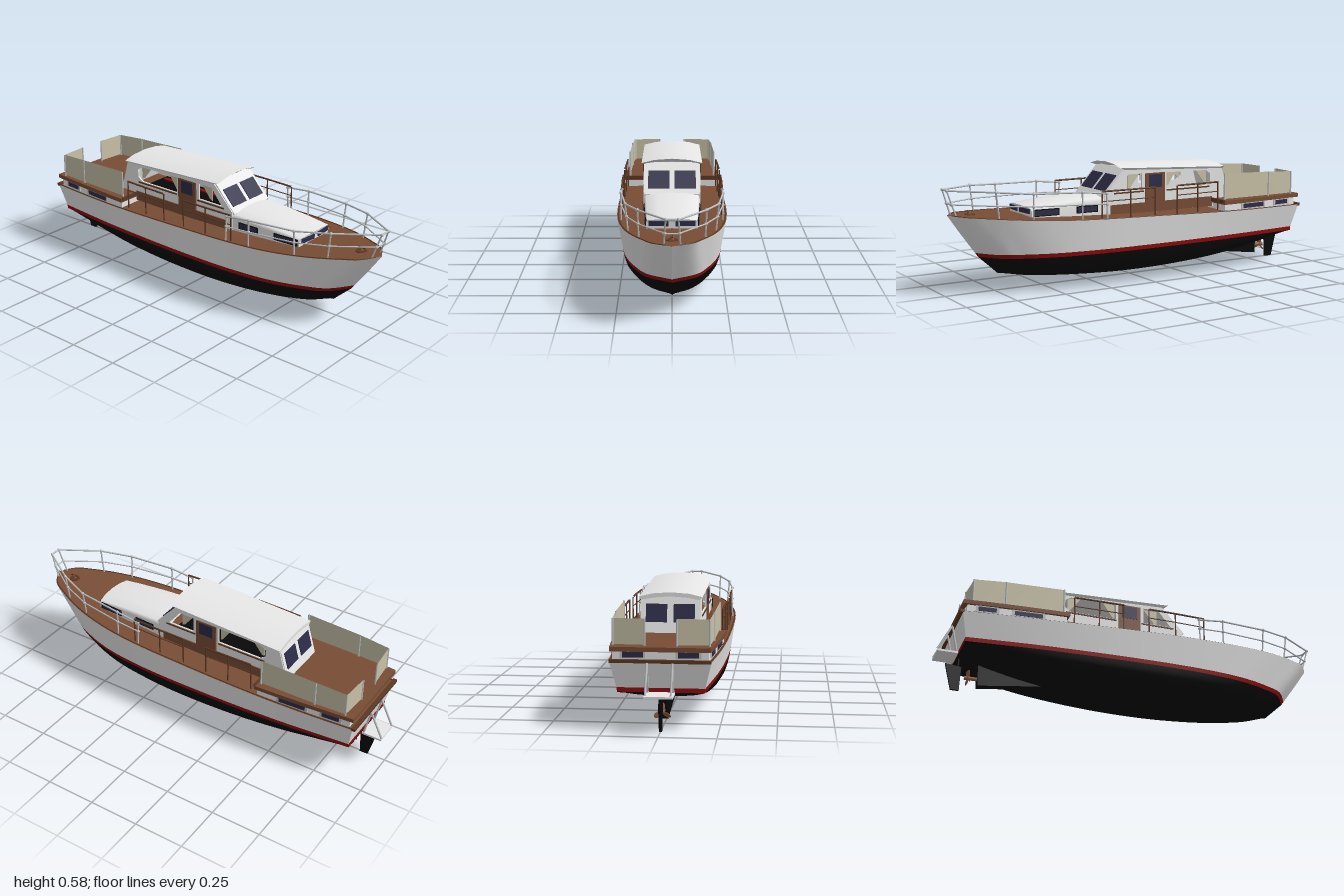
import * as THREE from 'three';
import { toCreasedNormals } from 'three/addons/utils/BufferGeometryUtils.js';

const mat = (name, color) => Object.assign(new THREE.MeshStandardMaterial({ color }), { name });
const white = mat('white paint', 0xe8e8e8);
const black = mat('black antifouling', 0x080808);
const red = mat('red trim', 0x900c0c);
const teak = mat('teak', 0x784d35);
const wood = mat('dark wood', 0x5c3823);
const glass = mat('window glass', 0x2d2c48);
const steel = mat('steel', 0xbfc2c4);
const canvas = mat('canvas', 0xc9c2a8);
canvas.side = THREE.DoubleSide;
const bronze = mat('bronze', 0x8a5c40);

const V = (x, y, z) => new THREE.Vector3(x, y, z);
const lerp = THREE.MathUtils.lerp;
const table = (xs, ys) => {
  const f = new THREE.CubicInterpolant(xs, ys, 1);
  return (x) => f.evaluate(x)[0];
};

// hull lines: half breadths, sheer height and keel height along z
const sheerBeam = table([-.92, -.7, -.4, 0, .3, .5, .7, .85, .93, .98], [.22, .24, .258, .267, .262, .242, .195, .13, .08, 0]);
const sheerY = table([-.92, -.5, 0, .5, .98], [.308, .314, .33, .346, .378]);
const waterBeam = table([-.89, -.5, 0, .3, .5, .65, .76, .83], [.19, .225, .243, .235, .208, .16, .1, 0]);
const keelY = table([-.89, -.75, -.5, -.2, .1, .4, .6, .72], [.165, .125, .075, .047, .04, .05, .063, .08]);

// surface through rows of points
function loft(rows, flip = false) {
  const n = rows[0].length, index = [];
  for (let i = 0; i < rows.length - 1; i++) for (let j = 0; j < n - 1; j++) {
    const a = i * n + j, b = a + 1, c = a + n, d = c + 1;
    if (flip) index.push(a, b, c, b, d, c);
    else index.push(a, c, b, b, c, d);
  }
  const g = new THREE.BufferGeometry().setFromPoints(rows.flat());
  g.setIndex(index);
  g.computeVertexNormals();
  return g;
}
const mirrorRow = (row) => row.map((p) => V(-p.x, p.y, p.z));

export function createModel() {
  const model = new THREE.Group();
  model.name = 'motorYacht';
  const add = (name, geo, material, x = 0, y = 0, z = 0, parent = model) => {
    const m = new THREE.Mesh(geo, material);
    m.name = name;
    m.position.set(x, y, z);
    parent.add(m);
    return m;
  };
  const box = (name, m, w, h, d, x, y, z, parent) => add(name, new THREE.BoxGeometry(w, h, d), m, x, y, z, parent);
  const tube = (name, m, pts, r = .004) => {
    for (let i = 1; i < pts.length; i++)
      add(name, new THREE.TubeGeometry(new THREE.LineCurve3(pts[i - 1], pts[i]), 1, r, 8), m);
  };
  const shape = (pts) => new THREE.Shape(pts.map(([a, b]) => new THREE.Vector2(a, b)));
  // upright plate drawn in (z, y), centred on x
  const sidePlate = (name, m, pts, t, x, holes = []) => {
    const s = shape(pts);
    s.holes = holes.map(shape);
    const g = new THREE.ExtrudeGeometry(s, { depth: t, bevelEnabled: false }).translate(0, 0, -t / 2).rotateY(-Math.PI / 2);
    add(name, g, m, x);
  };
  // flat slab following the aft hull outline
  const aftSlab = (name, m, z0, z1, inset, y0, y1) => {
    const pts = [];
    for (let i = 0; i <= 8; i++) pts.push([sheerBeam(lerp(z0, z1, i / 8)) - inset, -lerp(z0, z1, i / 8)]);
    const all = [...pts, ...pts.map(([x, y]) => [-x, y]).reverse()];
    add(name, new THREE.ExtrudeGeometry(shape(all), { depth: y1 - y0, bevelEnabled: false }).rotateX(-Math.PI / 2), m, 0, y0, 0);
  };

  // hull rows, from stern to bow
  const N = 56;
  const us = Array.from({ length: N + 1 }, (_, i) => 1 - Math.pow(1 - i / N, 1.4));
  const water = (u) => waterBeam(lerp(-.89, .83, u));
  const topRow = (s) => us.map((u) => {
    const z = lerp(lerp(-.89, -.915, s), lerp(.845, .98, s), u);
    return V(lerp(water(u) * 1.01, sheerBeam(lerp(-.92, .98, u)), s), lerp(.19, sheerY(z), s), z);
  });
  const lowRow = ([w, d]) => us.map((u) => {
    const z = lerp(-.89, .83 - .1 * d, u);
    return V(water(u) * w, lerp(.17, keelY(z), d), z);
  });
  const topsides = [0, .25, .5, .75, 1].map(topRow);
  const stripe = [lowRow([1, 0]), topsides[0]];
  const bottom = [[0, 1], [.22, .98], [.42, .95], [.58, .905], [.7, .84], [.82, .72], [.9, .55], [.96, .36], [.985, .18], [1, 0]].map(lowRow);
  for (const flip of [false, true]) {
    const side = (rows) => loft(flip ? rows.map(mirrorRow) : rows, flip);
    add('topsides', side(topsides), white);
    add('waterlineStripe', side(stripe), red);
  }
  add('hullBottom', loft([...bottom.slice(1).reverse().map(mirrorRow), ...bottom]), black);
  const transom = (rows) => loft(rows.map((r) => [V(-r[0].x, r[0].y, r[0].z), r[0]]));
  add('transom', transom(topsides), white);
  add('transomStripe', transom(stripe), red);
  add('transomFoot', transom(bottom), black);

  // main deck and toe rail
  const edge = topsides[4];
  add('deck', loft([edge, edge.map((p) => V(0, p.y + .004, p.z)), mirrorRow(edge)]), teak);
  const rail = edge.slice(0, -2).map((p) => V(Math.max(p.x - .006, 0), p.y + .001, p.z));
  for (const row of [rail, mirrorRow(rail)])
    add('toeRail', new THREE.TubeGeometry(new THREE.CatmullRomCurve3(row), 80, .003, 6), wood);

  // aft cabin and its raised deck
  aftSlab('aftCabin', white, -.895, -.42, .014, .3, .355);
  aftSlab('aftDeck', teak, -.915, -.41, .002, .35, .37);
  box('deckStep', wood, .5, .016, .012, 0, .366, -.41);
  box('sternRubRail', wood, .44, .014, .02, 0, .31, -.918);

  // forward trunk cabin
  const trunk = [[1, 0], [1, .7], [.94, .88], [.5, .97], [0, 1], [-.5, .97], [-.94, .88], [-1, .7], [-1, 0]];
  const trunkZ = [.16, .25, .35, .45, .53, .58, .605];
  const trunkRows = trunk.map(([wx, h]) => trunkZ.map((z) => {
    const t = (z - .16) / .445;
    return V(lerp(.137, .118, t) * wx, lerp(.33, lerp(.432, .402, t * t), h), z + (.012 * (1 - wx * wx)) * t);
  }));
  add('trunkCabin', loft(trunkRows), white);
  const frontEnd = trunkRows.map((r) => r[r.length - 1]);
  add('trunkFront', loft([0, 1, 2, 3, 4].map((i) => [frontEnd[i], frontEnd[8 - i]])), white);

  // wheelhouse shell
  const outline = [[.22, .33], [.22, .43], [.1, .555], [-.47, .535], [-.52, .36], [-.42, .33]];
  const holes = [
    [[.155, .445], [.09, .525], [.01, .525], [.01, .445]],
    [[-.135, .44], [-.135, .522], [-.37, .518], [-.4, .5], [-.4, .46], [-.37, .44]],
  ];
  const slanted = (name, y0, z0, y1, z1, out, paneW, paneH, paneY) => {
    const g = new THREE.Group();
    g.name = name;
    g.position.set(0, (y0 + y1) / 2, (z0 + z1) / 2);
    g.rotation.x = Math.atan2(z1 - z0, y1 - y0);
    model.add(g);
    box('panel', white, .266, Math.hypot(y1 - y0, z1 - z0), .008, 0, 0, 0, g);
    for (const s of [1, -1]) box('pane', glass, paneW, paneH, .006, s * .064, paneY, out * .005, g);
  };
  slanted('windscreen', .42, .228, .555, .105, 1, .103, .098, -.008);
  slanted('rearBulkhead', .36, -.52, .535, -.47, -1, .098, .085, .01);
  box('cabinSole', black, .25, .01, .6, 0, .37, -.14);

  // crowned roof whose front tapers to a thin visor
  const crown = [[.148, -.006], [.085, .009], [0, .015], [-.085, .009], [-.148, -.006]];
  const under = [[-.134, -.02], [-.07, -.009], [0, -.004], [.07, -.009], [.134, -.02]];
  const ring = (z, low) => [...crown, ...low, crown[0]].map(([x, y]) => V(x, y + .538 + (z + .48) * .045, z));
  const rings = [ring(-.48, under), ring(.095, under), ring(.14, [...crown].reverse())];
  add('roof', toCreasedNormals(loft(rings[0].map((_, i) => rings.map((r) => r[i]))), .5), white);
  add('roofBack', loft([rings[0].slice(5, 10), rings[0].slice(0, 5).reverse()]), white);

  for (const s of [1, -1]) {
    sidePlate('wheelhouseSide', white, outline, .008, s * .134, holes);
    box('lowerSidePanel', teak, .008, .05, .6, s * .139, .356, -.11);
    box('door', teak, .01, .185, .115, s * .138, .432, -.065);
    box('doorWindow', glass, .006, .065, .075, s * .142, .485, -.065);
    box('windowSill', wood, .006, .007, .17, s * .139, .437, .085);
    box('windowSill', wood, .006, .007, .26, s * .139, .433, -.265);
    for (const [z, d] of [[.085, -.07], [-.14, -.06], [-.385, .07]])
      sidePlate('curtain', canvas, [[z, .525], [z + d, .525], [z + d * .2, .455], [z, .45]], .004, s * .122);
    box('soleTrim', red, .022, .006, .56, s * .085, .378, -.14);

    // trunk, aft cabin and transom windows
    for (const [z, l] of [[.53, .12], [.315, .1]]) {
      const wx = s * (.137 - (z - .16) * .0427);
      box('trunkWindowFrame', black, .005, .034, l + .014, wx, .372, z).rotation.y = -s * .043;
      box('trunkWindow', glass, .008, .025, l, wx, .372, z).rotation.y = -s * .043;
    }
    box('trunkFrontWindow', glass, .09, .022, .006, s * .06, .38, .614).rotation.y = s * .08;
    for (const [z, l] of [[-.605, .16], [-.8, .11]]) {
      const a = s * Math.atan2(sheerBeam(z + .05) - sheerBeam(z - .05), .1);
      const wx = s * (sheerBeam(z) - .013);
      box('aftWindowFrame', steel, .006, .034, l, wx, .333, z).rotation.y = a;
      box('aftWindow', glass, .009, .022, l - .025, wx, .333, z).rotation.y = a;
    }
    box('sternWindowFrame', steel, .11, .034, .006, s * .12, .335, -.896);
    box('sternWindow', glass, .09, .024, .009, s * .12, .335, -.897);

    // canvas dodgers round the aft deck, open in the middle of the stern
    const dodger = [[.224, .505, -.43], [.219, .497, -.715], [.21, .488, -.87], [.07, .488, -.88]].map(([x, y, z]) => V(s * x, y, z));
    add('dodger', toCreasedNormals(loft([dodger.map((p) => V(p.x, .375, p.z)), dodger]), .5), canvas);
    for (const p of dodger) tube('dodgerPost', steel, [V(p.x, .365, p.z), p], .0045);

    // bow rail with ball joints
    const top = [V(.027, .497, .99), V(.15, .49, .8), V(.21, .478, .64), V(.238, .472, .4), V(.24, .458, .27)].map((p) => p.setX(p.x * s));
    const base = [.95, .785, .635, .4, .27].map((z) => V(s * (sheerBeam(z) - .016), sheerY(z), z));
    const mid = top.map((p, i) => base[i].clone().lerp(p, .46 + .03 * i));
    tube('bowRail', steel, top, .0045);
    tube('bowMidRail', steel, mid, .0035);
    top.forEach((p, i) => {
      tube('bowStanchion', steel, [base[i], p], .004);
      for (const q of [p, mid[i]]) add('railJoint', new THREE.SphereGeometry(.008, 10, 8), steel, q.x, q.y, q.z);
    });

    // wooden side rails either side of the boarding gate
    for (const zs of [[.295, .14, .0], [-.13, -.255, -.38]]) {
      const posts = zs.map((z) => V(s * (sheerBeam(z) - .024), .468, z));
      tube('sideRail', wood, posts, .0045);
      tube('sideMidRail', wood, posts.map((p) => V(p.x, .42, p.z)), .0025);
      for (const p of posts) tube('sideStanchion', wood, [V(p.x, .325, p.z), p], .0035);
    }

    // swim platform frame
    tube('platformStrut', steel, [V(s * .055, .165, -.9), V(s * .055, .305, -.93), V(s * .055, .175, -.994)], .005);
  }
  tube('bowRailFront', steel, [V(-.027, .497, .99), V(.027, .497, .99)], .0045);
  tube('bowMidRailFront', steel, [V(-.04, .43, .97), V(.04, .43, .97)], .0035);
  box('swimPlatform', white, .125, .01, .1, 0, .168, -.945);

  // anchor winch
  add('winchBase', new THREE.CylinderGeometry(.026, .028, .008, 20), wood, 0, .373, .87);
  add('winchDrum', new THREE.CylinderGeometry(.008, .01, .02, 12), bronze, 0, .383, .87);
  box('winchHandle', wood, .006, .006, .04, 0, .392, .87);

  // skeg, rudder and propeller
  sidePlate('skeg', black, [[-.45, .075], [-.785, .03], [-.79, .145], [-.6, .115]], .042, 0);
  sidePlate('rudder', black, [[-.87, 0], [-.91, 0], [-.943, .13], [-.865, .12]], .012, 0);
  tube('rudderStock', black, [V(0, .1, -.88), V(0, .18, -.88)], .006);
  tube('propellerShaft', bronze, [V(0, .07, -.77), V(0, .07, -.85)], .01);
  for (let i = 0; i < 3; i++) {
    const blade = new THREE.SphereGeometry(1, 12, 8).scale(.014, .021, .003).rotateY(.6).translate(0, .022, 0).rotateZ(i * Math.PI * 2 / 3);
    add('propellerBlade', blade, bronze, 0, .07, -.83);
  }
  return model;
}
